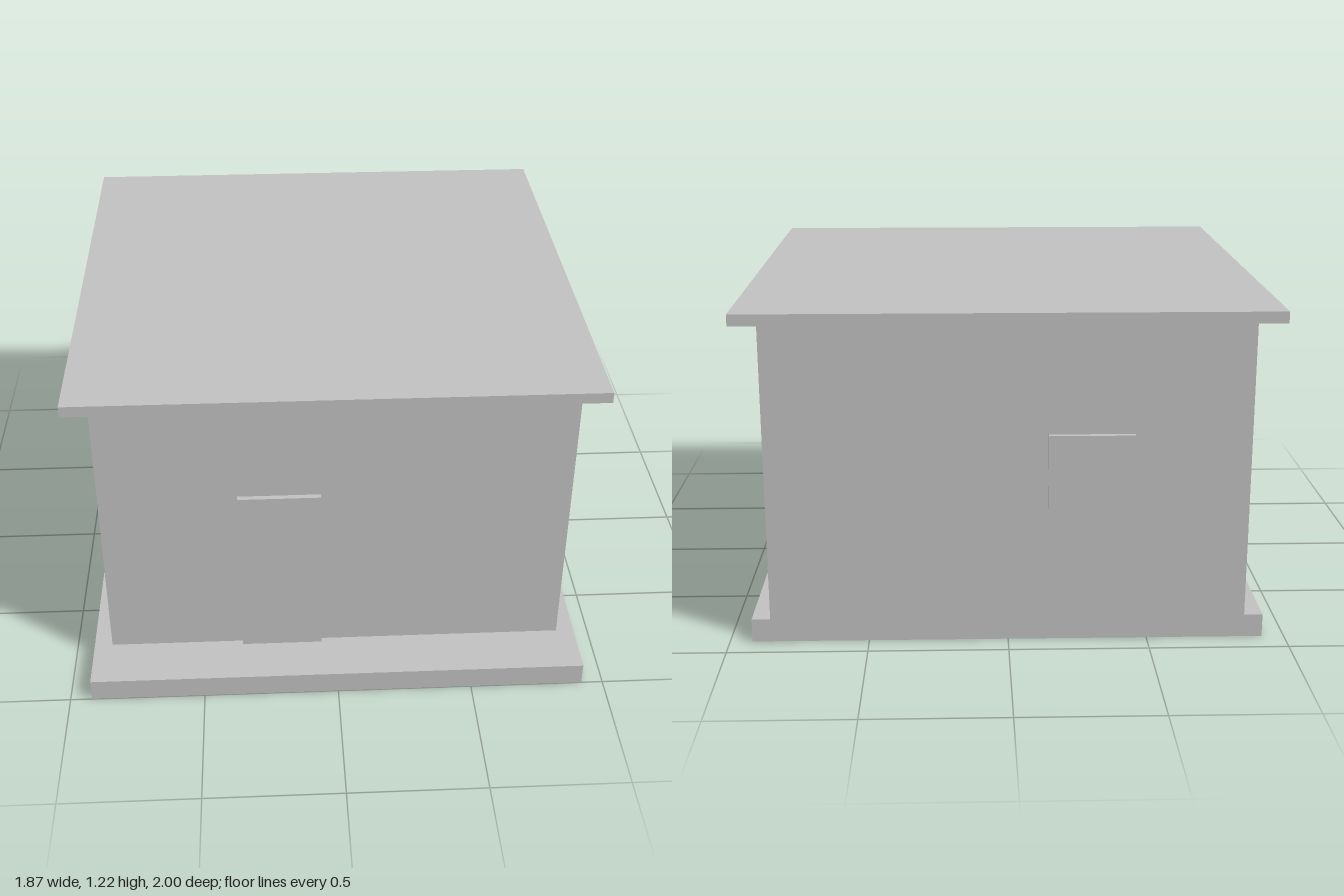
import * as THREE from 'three';

const plaster = new THREE.MeshStandardMaterial({ name: 'plain grey', color: 0xc0c0c0 });

// Box given by its extents along each axis
function slab(name, [x0, x1], [y0, y1], [z0, z1]) {
  const mesh = new THREE.Mesh(new THREE.BoxGeometry(x1 - x0, y1 - y0, z1 - z0), plaster);
  mesh.position.set((x0 + x1) / 2, (y0 + y1) / 2, (z0 + z1) / 2);
  mesh.name = name;
  return mesh;
}

export function createModel() {
  const house = new THREE.Group();
  house.name = 'house';

  // Plinth with a porch strip in front, flush with the back wall
  house.add(slab('plinth', [-0.92, 0.92], [0, 0.085], [-0.91, 1]));
  house.add(slab('walls', [-0.853, 0.853], [0.085, 1.18], [-0.91, 0.8]));

  // Flat overhanging roof
  house.add(slab('roof', [-0.937, 0.937], [1.18, 1.22], [-1, 0.88]));

  // Door on the front wall
  house.add(slab('door', [-0.355, -0.055], [0.085, 0.77], [0.8, 0.82]));

  // One window at the back, two on the right wall
  const sill = [0.5, 0.77];
  house.add(slab('backWindow', [-0.443, -0.14], sill, [-0.93, -0.91]));
  for (const z of [-0.337, 0.235]) {
    house.add(slab('sideWindow', [-0.873, -0.853], sill, [z - 0.152, z + 0.152]));
  }
  return house;
}
